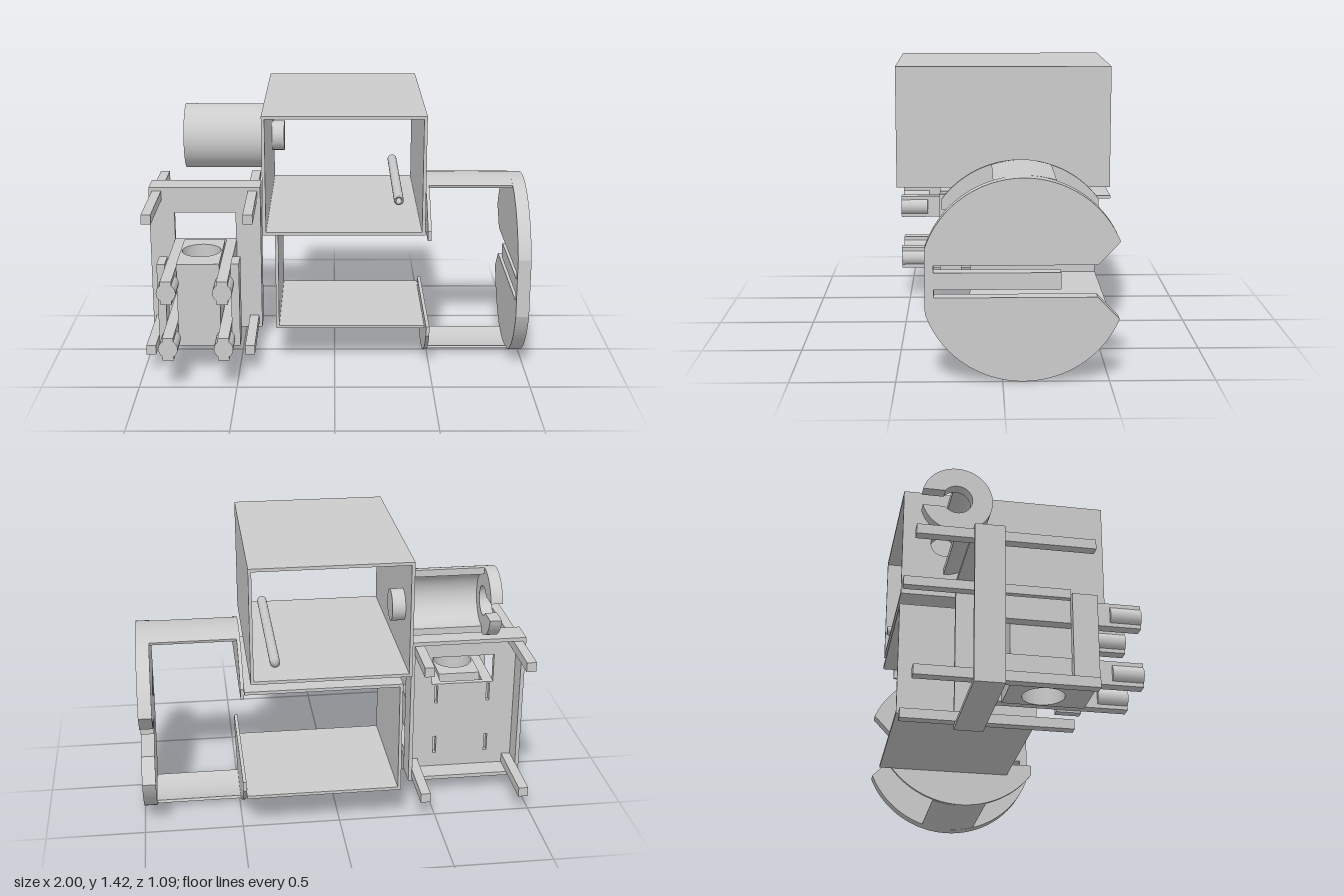
import * as THREE from 'three';

const grey = new THREE.MeshStandardMaterial({ color: 0xcccccc, side: THREE.DoubleSide });

export function createModel() {
  const root = new THREE.Group();

  const add = (name, geo, parent = root) => {
    const mesh = new THREE.Mesh(geo, grey);
    mesh.name = name;
    parent.add(mesh);
    return mesh;
  };
  const group = (name) => {
    const g = new THREE.Group();
    g.name = name;
    root.add(g);
    return g;
  };
  // box from its limits
  const box = (name, x0, x1, y0, y1, z0, z1, parent) =>
    add(name, new THREE.BoxGeometry(x1 - x0, y1 - y0, z1 - z0)
      .translate((x0 + x1) / 2, (y0 + y1) / 2, (z0 + z1) / 2), parent);
  const poly = (pts) => new THREE.Shape(pts.map(([a, b]) => new THREE.Vector2(a, b)));
  const rect = (a0, a1, b0, b1) => poly([[a0, b0], [a1, b0], [a1, b1], [a0, b1]]);
  const circle = (a, b, r) => new THREE.Path().absarc(a, b, r, 0, Math.PI * 2, false);
  const extrude = (shape, depth) =>
    new THREE.ExtrudeGeometry(shape, { depth, bevelEnabled: false, curveSegments: 40 });
  // shape drawn in (x, y), extruded along z
  const alongZ = (shape, z0, z1) => extrude(shape, z1 - z0).translate(0, 0, z0);
  // shape drawn in (z, y), extruded along x
  const alongX = (shape, x0, x1) => extrude(shape, x1 - x0).rotateY(-Math.PI / 2).translate(x1, 0, 0);
  // curved strip in the (z, y) plane
  const arcStrip = (z, y, r, t, a0, a1) => {
    const s = new THREE.Shape();
    s.absarc(z, y, r, a0, a1, false);
    s.absarc(z, y, r - t, a1, a0, true);
    return s;
  };

  // ---- Upper sleeve, open at front and back ----
  const W = 0.016;
  const sleeve = group('upperSleeve');
  box('sleeveTop', -0.354, 0.446, 1.423 - W, 1.423, -0.545, 0.515, sleeve);
  box('sleeveBottom', -0.354, 0.446, 0.823, 0.823 + W, -0.545, 0.515, sleeve);
  box('sleeveLeftWall', 0.446 - W, 0.446, 0.823 + W, 1.423 - W, -0.545, 0.515, sleeve);
  const wall = rect(-0.545, 0.515, 0.823 + W, 1.423 - W);
  wall.holes.push(circle(-0.33, 1.125, 0.068));
  add('sleeveRightWall', alongX(wall, -0.354, -0.354 + W), sleeve);

  // rod lying inside the sleeve, with a blind hole in its front end
  const rod = [[0, 0], [0.025, 0], [0.025, 0.83], [0.012, 0.83], [0.012, 0.77], [0, 0.77]];
  add('innerRod', new THREE.LatheGeometry(rod.map(([r, y]) => new THREE.Vector2(r, y)), 24)
    .rotateX(Math.PI / 2).translate(0.325, 0.935, -0.545));

  // ---- Side holder: cup, half shell and slotted end ring ----
  const holder = group('sideHolder');
  const [hz, hy, hr] = [-0.33, 1.125, 0.175];
  const cup = rect(0, 0, 0, 0);
  cup.curves = [];
  cup.absarc(hz, hy, 0.08, 0, Math.PI * 2, false);
  add('cupEnd', alongX(cup, -0.29, -0.272), holder);
  const cupSide = cup.clone();
  cupSide.holes.push(circle(hz, hy, 0.068));
  add('cupSide', alongX(cupSide, -0.354 + W, -0.29), holder);
  add('halfShell', alongX(arcStrip(hz, hy, hr, 0.035, -Math.PI / 2, Math.PI / 2), -0.745, -0.354), holder);
  const gap = 0.045;
  const outA = Math.PI - Math.asin(gap / hr), inA = Math.PI - Math.asin(gap / 0.075);
  const ring = new THREE.Shape();
  ring.absarc(hz, hy, hr, -outA, outA, false);
  ring.absarc(hz, hy, 0.075, inA, -inA, true);
  add('slottedRing', alongX(ring, -0.805, -0.745), holder);

  // ---- Lower sleeve, open at front, back and left ----
  const lower = group('lowerSleeve');
  box('lowerTop', -0.31, 0.478, 0.785 - W, 0.785, -0.545, 0.155, lower);
  box('lowerBottom', -0.31, 0.478, 0.187, 0.187 + W, -0.545, 0.155, lower);
  box('lowerRightWall', -0.31, -0.31 + W, 0.187 + W, 0.785 - W, -0.545, 0.155, lower);

  // ---- Spool: two flange segments, two curved bridges, slotted disc ----
  const spool = group('spool');
  const [cz, cy, R] = [-0.097, 0.485, 0.483];
  for (const s of [1, -1]) {
    const a = 0.637;
    const half = R * Math.cos(a);
    const seg = new THREE.Shape();
    seg.moveTo(cz - half, cy + s * 0.235);
    seg.lineTo(cz + half, cy + s * 0.235);
    seg.absarc(cz, cy, R, s * a, s * (Math.PI - a), s < 0);
    add('flangeSegment', alongX(seg, 0.476, 0.494), spool);
    const mid = s * Math.PI / 2;
    add('curvedBridge', alongX(arcStrip(cz - 0.006, cy, R, 0.015, mid - 0.31, mid + 0.31), 0.494, 0.932), spool);
  }
  const backA = Math.atan2(0.185, 0.448), frontA = Math.atan2(0.155, 0.462);
  const disc = new THREE.Shape();
  disc.absarc(cz, cy, R, Math.PI + backA, Math.PI * 2 - frontA, false);
  disc.absarc(cz, cy, R, frontA, Math.PI - backA, false);
  // notch open to the back, with a tongue between two slots
  [[-0.44, 0.56], [0.32, 0.56], [0.32, 0.525], [-0.27, 0.525], [-0.27, 0.445],
    [0.32, 0.445], [0.32, 0.407], [-0.44, 0.407]].forEach(([z, y]) => disc.lineTo(z, y));
  add('slottedDisc', alongX(disc, 0.932, 1), spool);

  // ---- Mounting tray, open to the back ----
  const tray = group('mountingTray');
  const [tx, px] = [-0.7, 0.14];
  const panel = rect(-1, -0.4, 0.082, 0.885);
  panel.holes.push(rect(-0.865, -0.535, 0.59, 0.745));
  for (const sx of [-1, 1]) for (const y of [0.23, 0.53]) {
    const x = tx + sx * px;
    panel.holes.push(rect(x - 0.008, x + 0.008, y - 0.05, y + 0.05));
  }
  add('trayPanel', alongZ(panel, -0.16, -0.13), tray);
  const rim = rect(-1, -0.4, 0.082, 0.885);
  rim.holes.push(rect(-0.98, -0.42, 0.102, 0.865));
  add('trayRim', alongZ(rim, -0.275, -0.16), tray);

  // corner pegs, bars with round tips, and side strips
  for (const s of [-1, 1]) {
    const cx = tx + s * 0.258;
    for (const y of [0.127, 0.84])
      box('cornerPeg', cx - 0.025, cx + 0.025, y - 0.025, y + 0.025, -0.545, 0.31, tray);
    const bx = tx + s * px;
    for (const y of [0.23, 0.53]) {
      box('clipBar', bx - 0.028, bx + 0.028, y - 0.06, y + 0.06, -0.13, 0.545, tray);
      add('clipTip', new THREE.CylinderGeometry(0.049, 0.049, 0.15, 24)
        .rotateX(Math.PI / 2).translate(bx, y, 0.47), tray);
    }
    const sx = tx + s * 0.189;
    box('sideStrip', sx - 0.021, sx + 0.021, 0.16, 0.608, 0.205, 0.327, tray);
  }

  // block with a vertical bore
  const block = rect(-0.81, -0.59, -0.327, 0.075);
  block.holes.push(circle(tx, -0.105, 0.102));
  add('boredBlock', extrude(block, 0.448).rotateX(-Math.PI / 2).translate(0, 0.16, 0), tray);

  return root;
}
